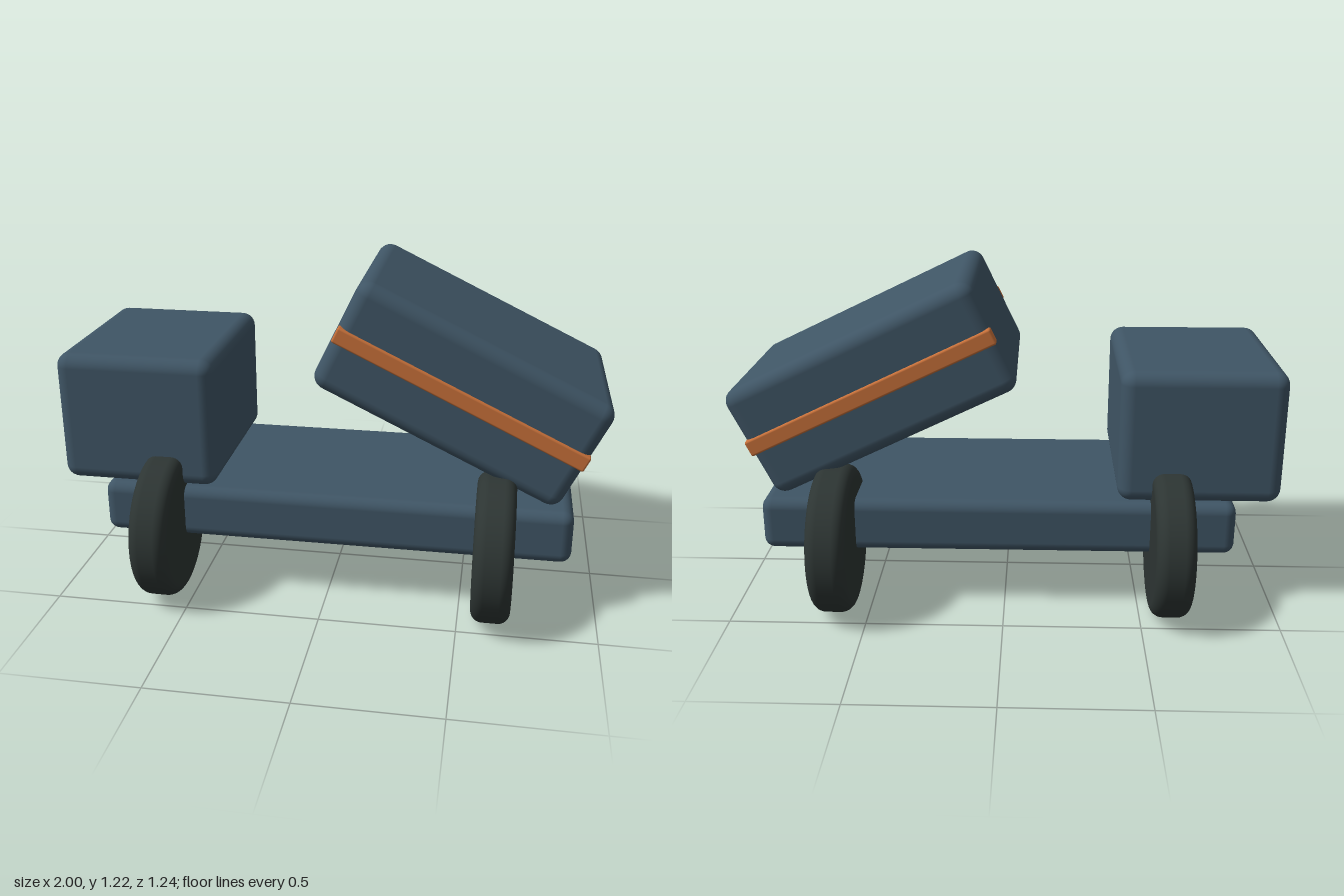
import * as THREE from 'three';
import { RoundedBoxGeometry } from 'three/addons/geometries/RoundedBoxGeometry.js';

const material = (name, color) => {
  const m = new THREE.MeshStandardMaterial({ color });
  m.name = name;
  return m;
};

export function createModel() {
  const slate = material('slate blue', 0x3f5565);
  const rubber = material('dark rubber', 0x2d3533);
  const orange = material('orange trim', 0xc8713a);

  const model = new THREE.Group();
  model.name = 'dumpTruck';

  const block = (parent, name, size, position, radius, mat) => {
    const mesh = new THREE.Mesh(new RoundedBoxGeometry(...size, 4, radius), mat);
    mesh.name = name;
    mesh.position.set(...position);
    parent.add(mesh);
  };

  // Flat chassis with the cab at one end
  block(model, 'chassis', [1.74, 0.2, 0.71], [0.025, 0.32, 0], 0.04, slate);
  block(model, 'cab', [0.59, 0.49, 0.71], [-0.705, 0.67, 0], 0.05, slate);

  // Tipped load body with a trim strip along each side
  const tipper = new THREE.Group();
  tipper.name = 'tipper';
  tipper.position.set(0.478, 0.832, 0);
  tipper.rotation.z = -0.45;
  model.add(tipper);
  block(tipper, 'loadBody', [0.986, 0.428, 0.71], [0, 0, 0], 0.05, slate);
  for (const side of [-1, 1]) {
    block(tipper, 'trimStrip', [0.98, 0.06, 0.05], [0, 0, side * 0.339], 0.008, orange);
  }

  // Wheels: a solid disc with rounded shoulders, turned about the x axis
  const R = 0.272, H = 0.07, r = 0.042;
  const profile = new THREE.Path();
  profile.moveTo(R - r, -H);
  profile.absarc(R - r, -H + r, r, -Math.PI / 2, 0, false);
  profile.absarc(R - r, H - r, r, 0, Math.PI / 2, false);
  const tyreGeometry = new THREE.LatheGeometry(profile.getPoints(8), 48);
  const faceGeometry = new THREE.CircleGeometry(R - r, 48);
  for (const x of [-0.603, 0.618]) {
    for (const z of [-0.347, 0.347]) {
      const wheel = new THREE.Group();
      wheel.name = 'wheel';
      wheel.position.set(x, R, z);
      const tyre = new THREE.Mesh(tyreGeometry, rubber);
      tyre.name = 'tyre';
      tyre.rotation.z = -Math.PI / 2;
      wheel.add(tyre);
      for (const side of [-1, 1]) {
        const face = new THREE.Mesh(faceGeometry, rubber);
        face.name = 'wheelFace';
        face.position.x = side * H;
        face.rotation.y = side * Math.PI / 2;
        wheel.add(face);
      }
      model.add(wheel);
    }
  }

  return model;
}
